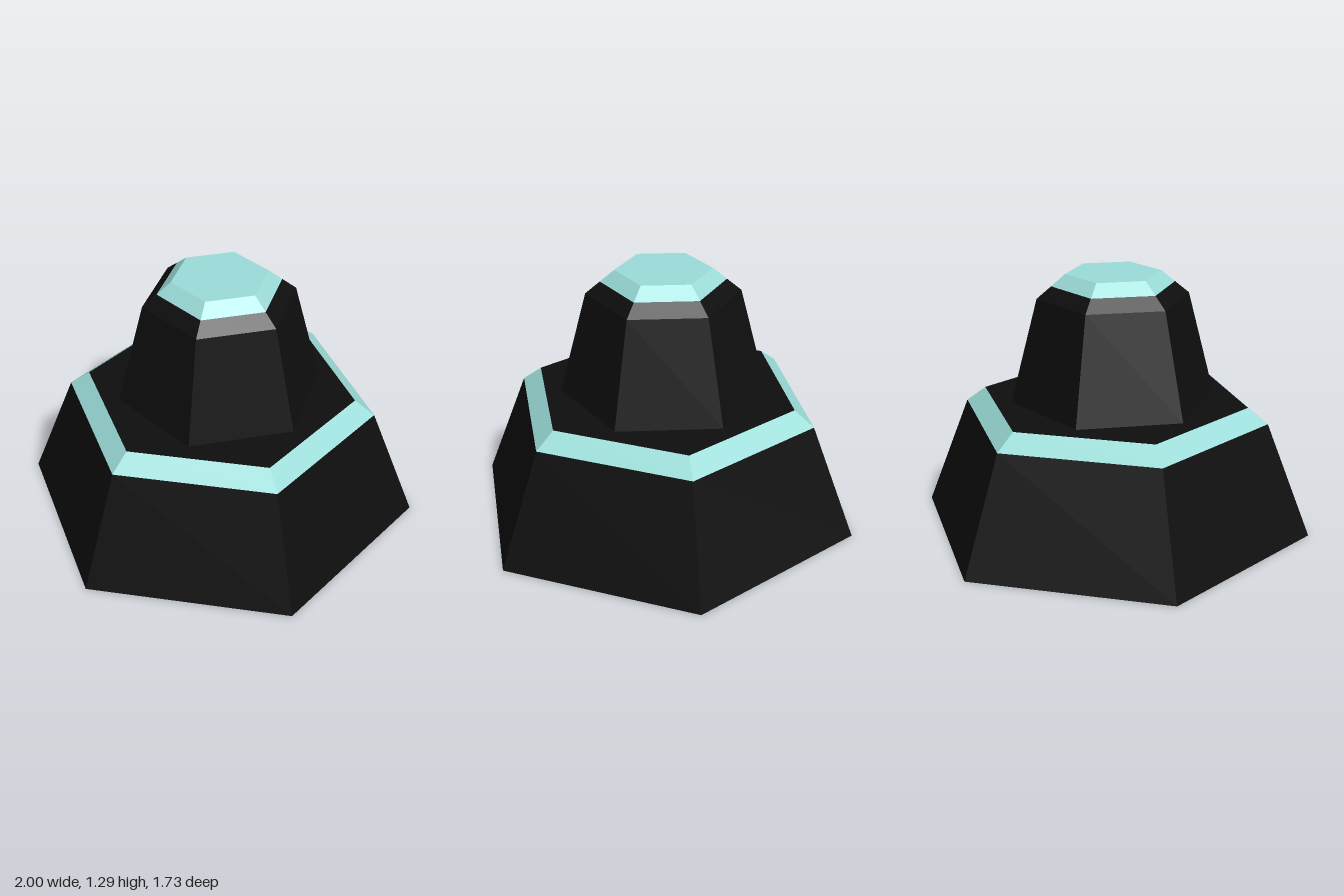
import * as THREE from 'three';

const dark = new THREE.MeshStandardMaterial({ color: 0x0e0e0e, flatShading: true });
const teal = new THREE.MeshStandardMaterial({ color: 0x9bdcd8, flatShading: true });

// Six-sided band; profile is [radius, height] pairs, listed so the faces look outward
function hexBand(name, profile, material, turn) {
  const points = profile.map(([r, y]) => new THREE.Vector2(r, y));
  const geometry = new THREE.LatheGeometry(points, 6, THREE.MathUtils.degToRad(turn));
  const mesh = new THREE.Mesh(geometry, material);
  mesh.name = name;
  return mesh;
}

export function createModel() {
  const model = new THREE.Group();
  model.name = 'hexagonalPedestal';

  // Wide lower tier with a coloured bevel
  const base = new THREE.Group();
  base.name = 'base';
  base.add(
    hexBand('baseBody', [[0, 0], [1, 0], [0.775, 0.573]], dark, 30),
    hexBand('baseTrim', [[0.775, 0.573], [0.675, 0.65]], teal, 30),
    hexBand('baseTop', [[0.675, 0.65], [0, 0.65]], dark, 30),
  );

  // Narrow upper tier, slightly twisted, with a coloured cap
  const tower = new THREE.Group();
  tower.name = 'tower';
  tower.add(
    hexBand('towerBody', [[0, 0.656], [0.51, 0.656], [0.376, 1.173], [0.305, 1.232]], dark, -6.5),
    hexBand('towerCap', [[0.305, 1.232], [0.236, 1.29], [0, 1.29]], teal, -6.5),
  );

  model.add(base, tower);
  return model;
}
